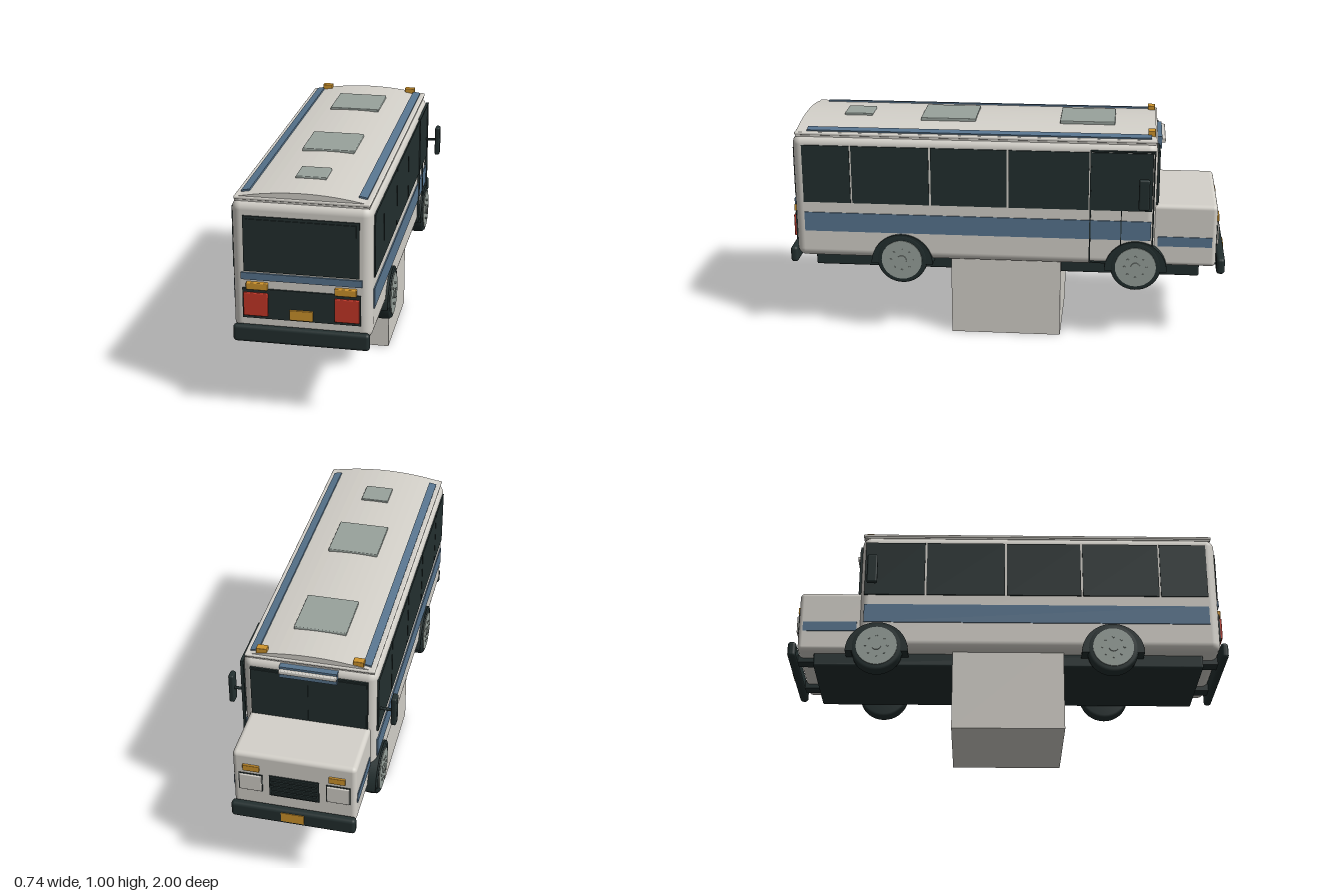
import * as THREE from 'three';
import { RoundedBoxGeometry } from 'three/addons/geometries/RoundedBoxGeometry.js';

function mat(name, color) {
  const m = new THREE.MeshStandardMaterial({ color });
  m.name = name;
  return m;
}

export function createModel() {
  const bus = new THREE.Group();
  bus.name = 'bus';
  const paint = mat('offWhitePaint', 0xd4d1ca);
  const dark = mat('darkTrim', 0x232f2f);
  const blue = mat('blueStripe', 0x58758f);
  const amber = mat('amberLamp', 0xcf942c);
  const red = mat('redLamp', 0xc73727);
  const grey = mat('greyMetal', 0x98a29c);

  const add = (name, geometry, material, parent = bus) => {
    const m = new THREE.Mesh(geometry, material);
    m.name = name;
    parent.add(m);
    return m;
  };
  // Box given by its limits on each axis, with optional rounding
  const box = (name, material, [x0, x1], [y0, y1], [z0, z1], r = 0) => {
    const w = x1 - x0, h = y1 - y0, d = z1 - z0;
    const g = r ? new RoundedBoxGeometry(w, h, d, 4, r) : new THREE.BoxGeometry(w, h, d);
    const m = add(name, g, material);
    m.position.set((x0 + x1) / 2, (y0 + y1) / 2, (z0 + z1) / 2);
    return m;
  };
  // Same box on one side: s = 1 or -1
  const sideBox = (name, material, s, [x0, x1], y, z, r) =>
    box(name, material, s > 0 ? [x0, x1] : [-x1, -x0], y, z, r);

  // Stand, chassis and main shells
  box('stand', paint, [-0.253, 0.253], [0, 0.45], [-0.253, 0.253]);
  box('chassis', dark, [-0.23, 0.23], [0.31, 0.385], [-0.885, 0.89], 0.008);
  box('body', paint, [-0.292, 0.292], [0.37, 0.952], [-0.68, 0.967], 0.04);
  box('hood', paint, [-0.267, 0.267], [0.37, 0.662], [-0.957, -0.62], 0.02);
  box('rearBumper', dark, [-0.288, 0.288], [0.337, 0.412], [0.965, 1.0], 0.015);
  box('frontBumper', dark, [-0.272, 0.272], [0.337, 0.412], [-1.0, -0.962], 0.015);
  for (const z of [[-0.97, -0.86], [0.87, 0.97]])
    for (const s of [-1, 1]) sideBox('bumperBracket', dark, s, [0.12, 0.18], [0.35, 0.385], z);

  // Arched roof with a lip
  const roofY = x => 0.962 + 0.03 * (1 - (x / 0.278) ** 2);
  const arch = new THREE.Shape();
  arch.moveTo(-0.278, 0.945);
  arch.lineTo(0.278, 0.945);
  for (let i = 0; i <= 16; i++) {
    const x = 0.278 - (0.556 * i) / 16;
    arch.lineTo(x, roofY(x));
  }
  const roof = add('roof', new THREE.ExtrudeGeometry(arch, { depth: 1.62, bevelEnabled: false }), paint);
  roof.position.z = -0.67;
  box('roofLip', paint, [-0.281, 0.281], [0.952, 0.966], [-0.678, 0.955], 0.006);

  // Roof hatches
  for (const [w, z0, z1] of [[0.115, -0.485, -0.235], [0.115, 0.15, 0.402], [0.065, 0.635, 0.765]])
    box('roofHatch', grey, [-w, w], [0.975, 1.0], [z0, z1], 0.004);

  const windows = [[0.705, 0.922], [0.345, 0.697], [-0.007, 0.336], [-0.377, -0.016], [-0.662, -0.386]];
  const half = new THREE.Shape();
  half.absarc(0, 0, 0.142, 0, Math.PI, false);
  half.closePath();

  for (const s of [-1, 1]) {
    // Roof stripe and marker lamp
    const stripe = box('roofStripe', blue, [-0.018, 0.018], [0, 0.01], [-0.65, 0.9]);
    stripe.position.x = s * 0.243;
    stripe.position.y = roofY(0.243) + 0.002;
    stripe.rotation.z = -s * 0.19;
    sideBox('roofLamp', amber, s, [0.185, 0.232], [0.965, 0.996], [-0.667, -0.634], 0.003);

    // Side windows and stripes
    for (const z of windows) sideBox('sideWindow', dark, s, [0.29, 0.298], [0.64, 0.91], z);
    sideBox('sideStripe', blue, s, [0.29, 0.297], [0.5, 0.59], [-0.66, 0.922]);
    sideBox('hoodStripe', blue, s, [0.264, 0.271], [0.466, 0.512], [-0.937, -0.692]);

    // Wheels in dark arches
    for (const z of [0.475, -0.595]) {
      const fender = add('wheelArch', new THREE.ExtrudeGeometry(half,
        { depth: 0.07, bevelEnabled: false, curveSegments: 28 }), dark);
      fender.rotation.y = Math.PI / 2;
      fender.position.set(s > 0 ? 0.233 : -0.303, 0.352, z);

      const wheel = new THREE.Group();
      wheel.name = 'wheel';
      wheel.position.set(s * 0.236, 0.375, z);
      wheel.rotation.z = -s * Math.PI / 2;
      bus.add(wheel);
      const profile = [[0, 0], [0.106, 0], [0.115, 0.008], [0.117, 0.036], [0.115, 0.062], [0.106, 0.071], [0, 0.071]]
        .map(p => new THREE.Vector2(...p));
      add('tire', new THREE.LatheGeometry(profile, 36), dark, wheel);
      const disc = (name, r, h, y) => {
        const m = add(name, new THREE.CylinderGeometry(r, r, h, 28), grey, wheel);
        m.position.y = y;
        return m;
      };
      disc('hub', 0.093, 0.008, 0.071);
      disc('hubCap', 0.022, 0.008, 0.076);
      for (let i = 0; i < 8; i++) {
        const a = (i * Math.PI) / 4, bolt = disc('wheelBolt', 0.005, 0.006, 0.076);
        bolt.position.x = 0.05 * Math.cos(a);
        bolt.position.z = 0.05 * Math.sin(a);
      }
    }

    // Mirrors
    sideBox('mirrorArm', dark, s, [0.285, 0.35], [0.734, 0.746], [-0.636, -0.624], 0.004);
    sideBox('mirror', dark, s, [0.346, 0.37], [0.668, 0.81], [-0.648, -0.6], 0.008);

    // Rear lamps
    sideBox('tailLamp', red, s, [0.14, 0.243], [0.453, 0.556], [0.968, 0.985], 0.004);
    sideBox('rearIndicator', amber, s, [0.14, 0.231], [0.57, 0.601], [0.962, 0.985], 0.004);

    // Headlamps, front indicators and windshield panes
    sideBox('headlampFrame', dark, s, [0.138, 0.242], [0.468, 0.557], [-0.961, -0.95]);
    sideBox('headlamp', paint, s, [0.141, 0.239], [0.471, 0.554], [-0.968, -0.95], 0.004);
    sideBox('frontIndicator', amber, s, [0.15, 0.222], [0.575, 0.605], [-0.967, -0.95], 0.003);
    sideBox('windshieldPane', dark, s, [0.004, 0.25], [0.668, 0.9], [-0.692, -0.675]);
  }

  // Door outline and its center seam, on one side
  const doorX = [0.29, 0.303];
  for (const z of [-0.385, -0.668]) box('doorFrame', dark, doorX, [0.39, 0.92], [z - 0.003, z + 0.003]);
  for (const y of [0.39, 0.917]) box('doorFrame', dark, doorX, [y - 0.003, y + 0.003], [-0.671, -0.382]);
  box('doorSeam', dark, [0.29, 0.3], [0.39, 0.64], [-0.527, -0.523]);

  // Windshield surround, sign and visor
  box('windshieldFrame', dark, [-0.256, 0.256], [0.655, 0.908], [-0.688, -0.67]);
  box('signPanel', blue, [-0.125, 0.125], [0.885, 0.94], [-0.699, -0.67]);
  box('visor', paint, [-0.125, 0.125], [0.912, 0.93], [-0.715, -0.67], 0.004);

  // Grille and front plate
  box('grille', dark, [-0.108, 0.108], [0.455, 0.562], [-0.963, -0.95]);
  for (let i = 0; i < 4; i++)
    box('grilleSlat', dark, [-0.1, 0.1], [0.464 + i * 0.025, 0.476 + i * 0.025], [-0.97, -0.955], 0.003);
  box('frontPlate', amber, [-0.05, 0.05], [0.354, 0.4], [-1.003, -0.995]);

  // Rear window, stripe, lamp panel and plate
  box('rearWindowFrame', dark, [-0.241, 0.241], [0.648, 0.89], [0.955, 0.973]);
  box('rearWindow', dark, [-0.228, 0.228], [0.658, 0.878], [0.96, 0.977]);
  box('rearStripe', blue, [-0.253, 0.253], [0.611, 0.641], [0.955, 0.975]);
  box('rearPanel', dark, [-0.248, 0.248], [0.44, 0.573], [0.955, 0.975]);
  box('rearPlate', amber, [-0.049, 0.049], [0.445, 0.49], [0.965, 0.983], 0.003);
  return bus;
}
